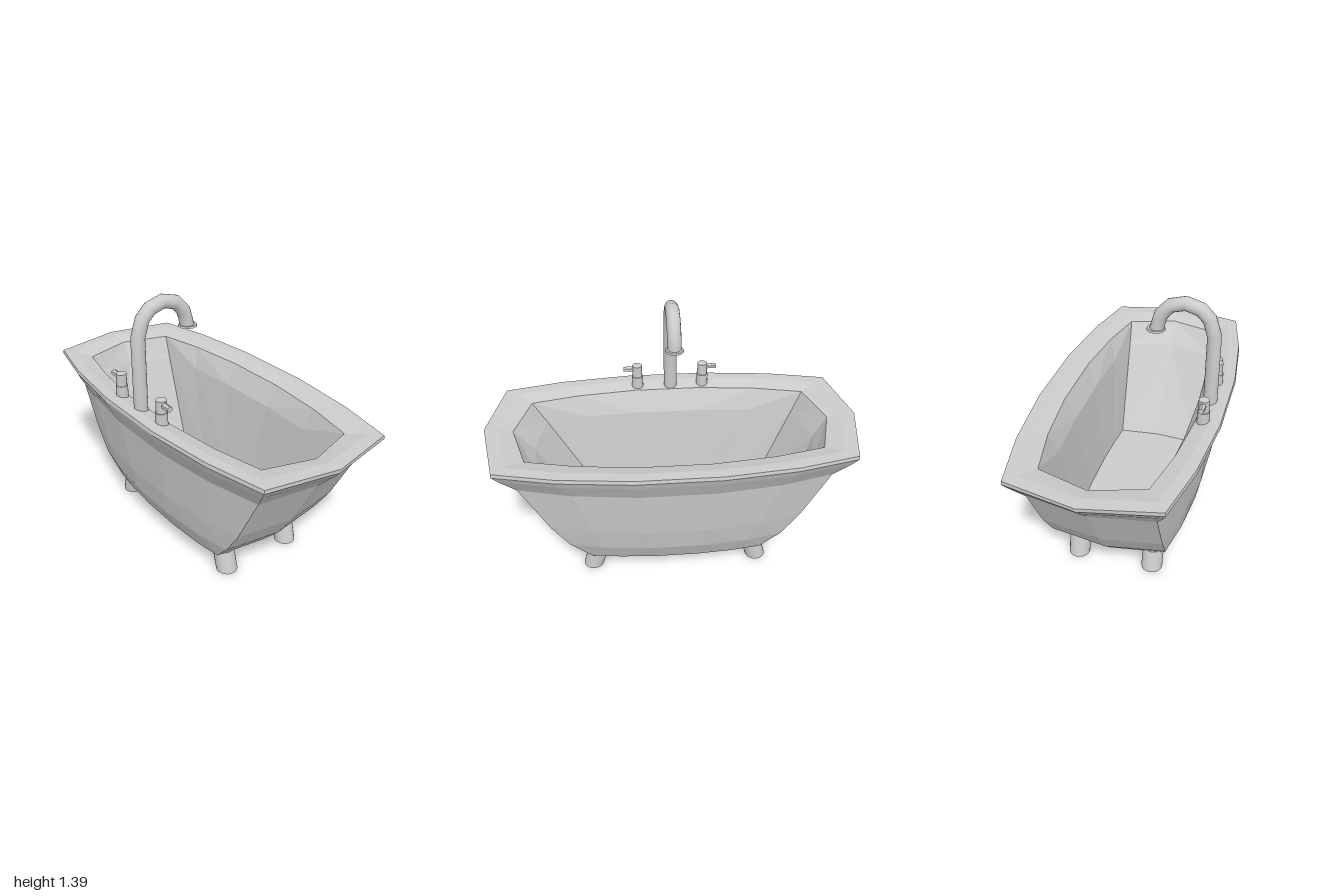
import * as THREE from 'three';

const smooth = new THREE.MeshStandardMaterial({ color: 0xcccccc });
const faceted = new THREE.MeshStandardMaterial({ color: 0xcccccc, flatShading: true });

function add(parent, name, geometry, material = smooth) {
  const mesh = new THREE.Mesh(geometry, material);
  mesh.name = name;
  parent.add(mesh);
  return mesh;
}

// Fourteen-sided outline: pointed ends, four corners and bowed sides.
function ring({ y, side, corner, cornerZ, endZ, backCornerZ = cornerZ, backEndZ = endZ }) {
  const bow = corner + (side - corner) * 0.63;
  const right = [
    [corner, cornerZ], [bow, cornerZ * 0.66], [side, cornerZ * 0.24],
    [side, -backCornerZ * 0.24], [bow, -backCornerZ * 0.66], [corner, -backCornerZ],
  ];
  const left = right.map(([x, z]) => [-x, z]).reverse();
  return [[0, endZ], ...right, [0, -backEndZ], ...left].map(([x, z]) => [x, y, z]);
}

// Closed skin through the rings, with a centre point closing each end.
function loft(rings, startY, endY) {
  const n = rings[0].length;
  const positions = [...rings.flat(2), 0, startY, 0, 0, endY, 0];
  const start = rings.length * n, end = start + 1;
  const index = [];
  for (let i = 0; i < n; i++) {
    const k = (i + 1) % n;
    index.push(start, k, i);
    for (let j = 0; j < rings.length - 1; j++) {
      const a = j * n + i, b = j * n + k;
      // Diagonals mirror from quarter to quarter
      if (i % 7 > 3) index.push(a, b, a + n, b, b + n, a + n);
      else index.push(a, b, b + n, a, b + n, a + n);
    }
    const last = (rings.length - 1) * n;
    index.push(last + i, last + k, end);
  }
  const geometry = new THREE.BufferGeometry();
  geometry.setAttribute('position', new THREE.Float32BufferAttribute(positions, 3));
  geometry.setIndex(index);
  geometry.computeVertexNormals();
  return geometry;
}

// Path that steps exactly from point to point, for a segmented bend.
class SteppedCurve extends THREE.Curve {
  constructor(points) {
    super();
    this.points = points;
  }
  getPointAt(u) {
    return this.points[Math.round(u * (this.points.length - 1))].clone();
  }
  getTangentAt(u) {
    const p = this.points, last = p.length - 1, i = Math.round(u * last);
    if (i === 0 || i === last) return new THREE.Vector3(0, i ? -1 : 1, 0);
    const before = p[i].clone().sub(p[i - 1]).normalize();
    return p[i + 1].clone().sub(p[i]).normalize().add(before).normalize();
  }
}

export function createModel() {
  const model = new THREE.Group();
  model.name = 'bathtub';

  // Tub: outer wall upward, over the rim, then inner wall down to the floor
  const profile = [
    { y: 0.12, side: 0.312, corner: 0.278, cornerZ: 0.475, endZ: 0.518 },
    { y: 0.24, side: 0.367, corner: 0.306, cornerZ: 0.582, endZ: 0.632 },
    { y: 0.38, side: 0.395, corner: 0.312, cornerZ: 0.675, endZ: 0.725 },
    { y: 0.66, side: 0.425, corner: 0.318, cornerZ: 0.817, endZ: 0.87 },
    { y: 0.76, side: 0.474, corner: 0.366, cornerZ: 0.893, endZ: 0.965 },
    { y: 0.8, side: 0.49, corner: 0.381, cornerZ: 0.92, endZ: 0.998 },
    { y: 0.82, side: 0.486, corner: 0.378, cornerZ: 0.92, endZ: 1 },
    { y: 0.82, side: 0.43, corner: 0.33, cornerZ: 0.86, endZ: 0.93 },
    { y: 0.8, side: 0.355, corner: 0.265, cornerZ: 0.77, endZ: 0.85 },
    { y: 0.68, side: 0.3, corner: 0.256, cornerZ: 0.7, endZ: 0.75, backCornerZ: 0.722, backEndZ: 0.786 },
    { y: 0.19, side: 0.25, corner: 0.23, cornerZ: 0.43, endZ: 0.45, backCornerZ: 0.53, backEndZ: 0.53 },
  ];
  add(model, 'tub', loft(profile.map(ring), 0.105, 0.19), faceted);

  // Feet, leaning outward with level soles
  for (const x of [-1, 1]) {
    for (const z of [-1, 1]) {
      const foot = new THREE.CylinderGeometry(0.057, 0.057, 0.12, 20);
      foot.translate(0, 0.06, 0);
      foot.applyMatrix4(new THREE.Matrix4().set(
        1, 0, 0, x * 0.207,
        0, 1, 0, 0,
        0, -z * 0.27, 1, z * 0.468,
        0, 0, 0, 1));
      add(model, 'foot', foot);
    }
  }

  // Tap: pipe with a segmented gooseneck and a flanged outlet
  const tap = new THREE.Group();
  tap.name = 'tap';
  tap.position.z = -0.02;
  model.add(tap);
  const path = [
    [-0.395, 0.8], [-0.395, 1.2], [-0.366, 1.29], [-0.32, 1.336], [-0.245, 1.358],
    [-0.17, 1.338], [-0.122, 1.285], [-0.098, 1.2],
  ].map(([x, y]) => new THREE.Vector3(x, y, 0));
  add(tap, 'spout', new THREE.TubeGeometry(new SteppedCurve(path), path.length - 1, 0.037, 16));
  add(tap, 'outletFlange', new THREE.CylinderGeometry(0.046, 0.049, 0.01, 20)).position.set(-0.096, 1.201, 0);

  // Valves with levers pointing away from the spout
  for (const [z, dir] of [[0.17, 1], [-0.205, -1]]) {
    const valve = new THREE.Group();
    valve.name = 'valve';
    valve.position.set(-0.395, 0, z);
    model.add(valve);
    add(valve, 'valveBase', new THREE.CylinderGeometry(0.032, 0.033, 0.07, 16)).position.y = 0.84;
    add(valve, 'valveCap', new THREE.CylinderGeometry(0.028, 0.028, 0.067, 16)).position.y = 0.908;
    const lever = add(valve, 'lever', new THREE.CylinderGeometry(0.016, 0.016, 0.075, 6), faceted);
    lever.rotation.x = Math.PI / 2;
    lever.position.set(0, 0.92, dir * 0.04);
  }

  return model;
}
